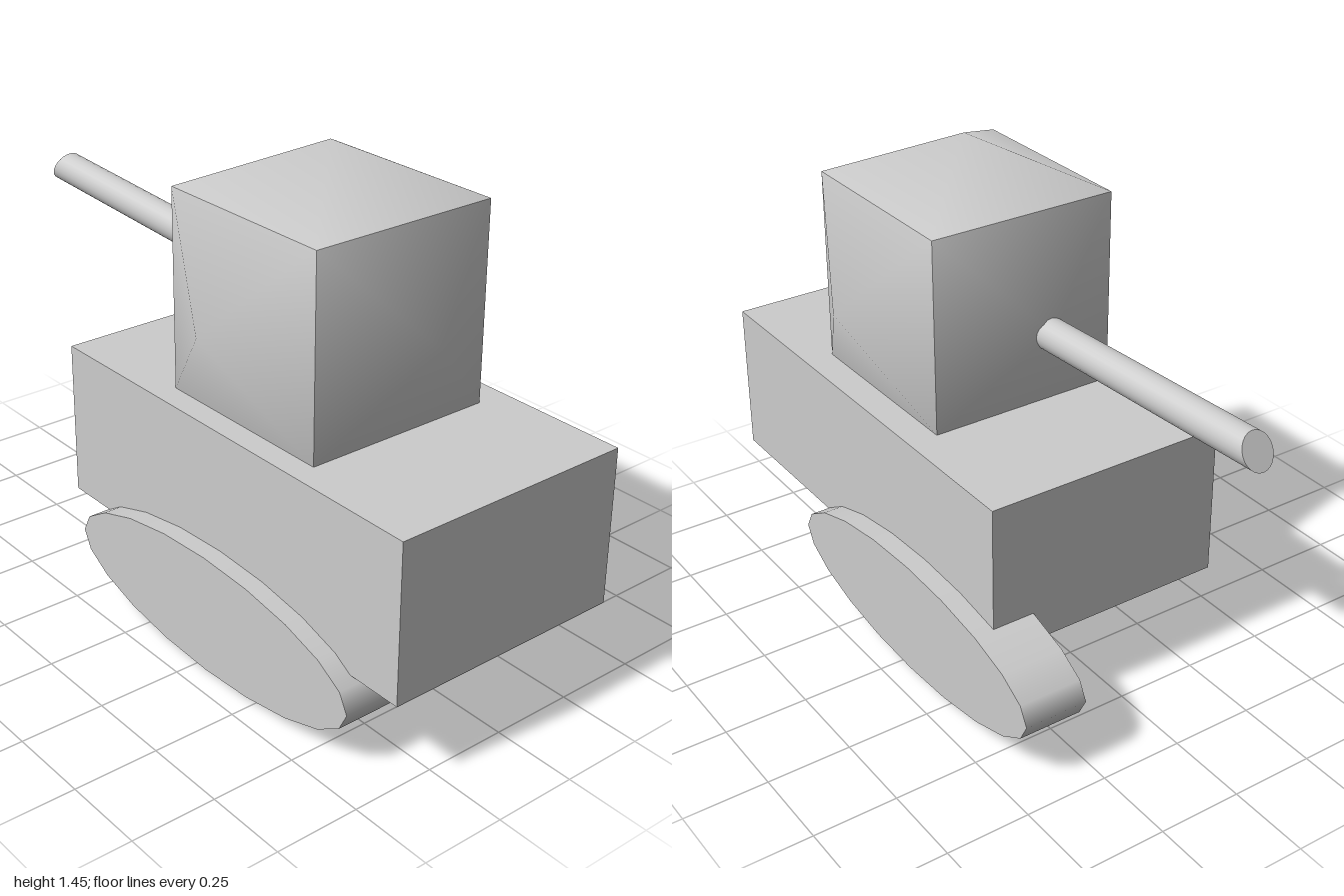
import * as THREE from 'three';

const grey = new THREE.MeshStandardMaterial({ color: 0xcccccc });

function addPart(group, name, geometry, x = 0, y = 0, z = 0) {
  const mesh = new THREE.Mesh(geometry, grey);
  mesh.name = name;
  mesh.position.set(x, y, z);
  group.add(mesh);
}

// Cube whose six faces each rise to a shallow point, smooth within a face
function pointedCube(half, rise) {
  const positions = [], indices = [];
  for (let axis = 0; axis < 3; axis++) {
    for (const sign of [1, -1]) {
      const base = positions.length / 3;
      const place = (n, u, v) => {
        const p = [0, 0, 0];
        p[axis] = n * sign;
        p[(axis + 1) % 3] = u * sign;
        p[(axis + 2) % 3] = v;
        positions.push(...p);
      };
      place(half + rise, 0, 0);
      for (const [u, v] of [[-1, -1], [1, -1], [1, 1], [-1, 1]]) place(half, u * half, v * half);
      for (let i = 0; i < 4; i++) indices.push(base, base + 1 + i, base + 1 + (i + 1) % 4);
    }
  }
  const geometry = new THREE.BufferGeometry();
  geometry.setAttribute('position', new THREE.Float32BufferAttribute(positions, 3));
  geometry.setIndex(indices);
  geometry.computeVertexNormals();
  return geometry;
}

// Flattened cylinder lying across the model
function trackGeometry(width, height, length) {
  return new THREE.CylinderGeometry(1, 1, width, 20)
    .rotateZ(Math.PI / 2)
    .scale(1, height / 2, length / 2);
}

export function createModel() {
  const group = new THREE.Group();
  group.name = 'tank';

  // Hull and turret
  addPart(group, 'hull', new THREE.BoxGeometry(0.755, 0.47, 1.415), 0.003, 0.485, 0.293);
  addPart(group, 'turret', pointedCube(0.295, 0.145), -0.006, 1.013, 0.293);

  // Gun barrel: slightly raised, both ends cut on a slant
  const barrel = new THREE.CylinderGeometry(0.047, 0.047, 0.88, 24).rotateX(-Math.PI / 2);
  barrel.applyMatrix4(new THREE.Matrix4().set(
    1, 0, 0, 0,
    0, 1, -0.05, 0,
    0, 0.53, 1, 0,
    0, 0, 0, 1));
  addPart(group, 'barrel', barrel, -0.008, 1.022, -0.535);

  // Staggered oval tracks
  addPart(group, 'leftTrack', trackGeometry(0.193, 0.352, 1.18), 0.346, 0.2, -0.07);
  addPart(group, 'rightTrack', trackGeometry(0.195, 0.36, 1.18), -0.333, 0.18, 0.29);

  return group;
}
